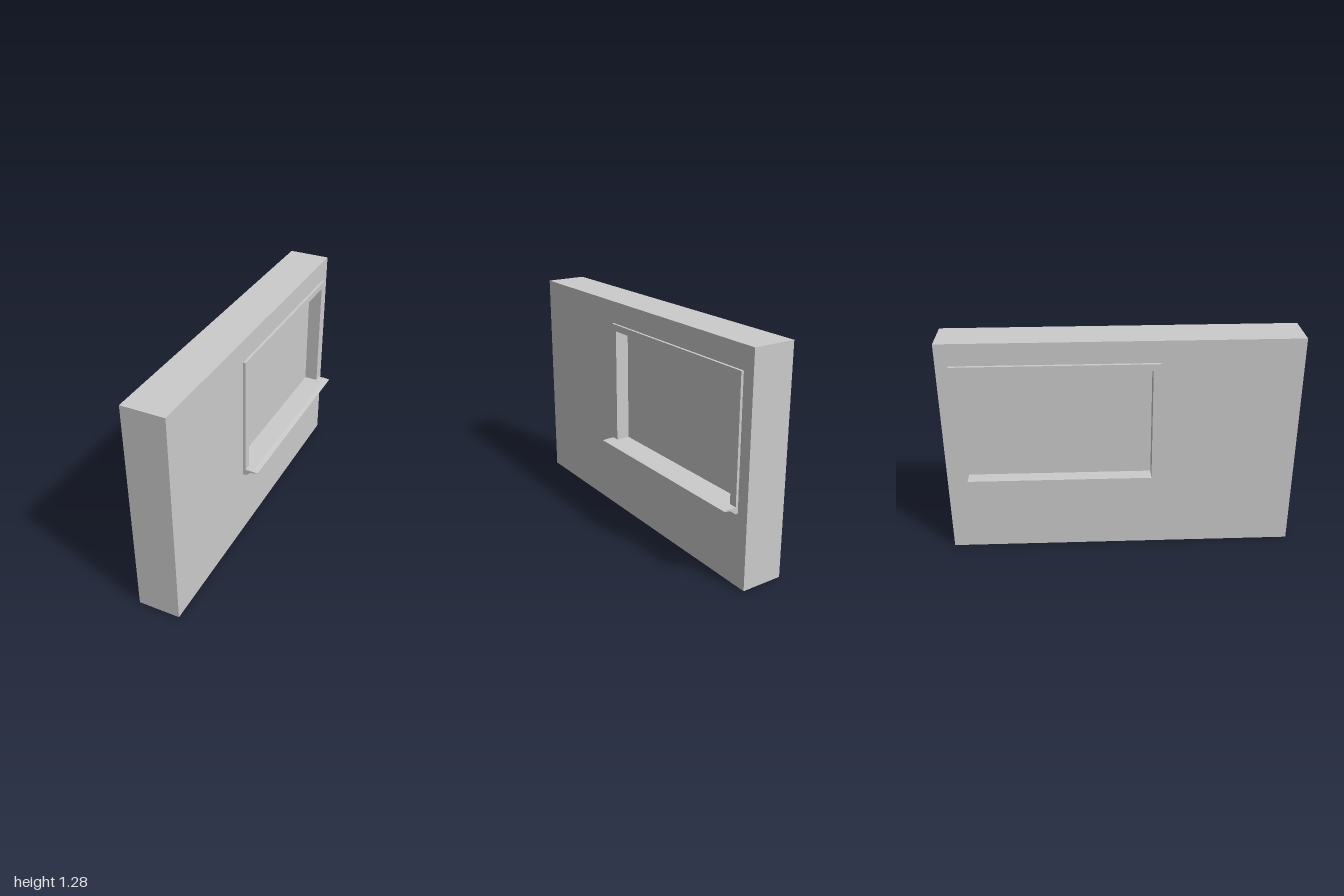
import * as THREE from 'three';

const material = new THREE.MeshStandardMaterial({ color: 0xcccccc, flatShading: true });

function rect(Type, z0, z1, y0, y1) {
  return new Type([[z0, y0], [z1, y0], [z1, y1], [z0, y1]].map(p => new THREE.Vector2(...p)));
}

// Rectangular panel in the z-y plane with a rectangular hole, spanning x0..x1
function holedPanel(name, outer, inner, x0, x1) {
  const shape = rect(THREE.Shape, ...outer);
  shape.holes.push(rect(THREE.Path, ...inner));
  const geometry = new THREE.ExtrudeGeometry(shape, { depth: x1 - x0, bevelEnabled: false });
  geometry.rotateY(-Math.PI / 2).translate(x1, 0, 0);
  const mesh = new THREE.Mesh(geometry, material);
  mesh.name = name;
  return mesh;
}

export function createModel() {
  const group = new THREE.Group();
  group.name = 'windowWall';

  // z0, z1, y0, y1 of each outline
  const wall = [-1, 1, 0, 1.285];
  const frame = [-0.93, 0.215, 0.413, 1.158];
  const opening = [-0.885, 0.172, 0.45, 1.12];

  group.add(holedPanel('wall', wall, frame, -0.16, 0.085));
  group.add(holedPanel('windowFrame', frame, opening, -0.178, 0.1));

  // Thick pane recessed from both faces
  const [z0, z1, y0, y1] = opening;
  const pane = new THREE.Mesh(new THREE.BoxGeometry(0.115, y1 - y0, z1 - z0), material);
  pane.position.set(-0.038, (y0 + y1) / 2, (z0 + z1) / 2);
  pane.name = 'windowPane';
  group.add(pane);

  // Projecting sill with a tapered underside
  const profile = [[0.098, 0.413], [0.103, 0.413], [0.132, 0.438], [0.175, 0.446], [0.175, 0.448], [0.145, 0.451], [0.098, 0.451]];
  const sillShape = new THREE.Shape(profile.map(p => new THREE.Vector2(...p)));
  const sill = new THREE.Mesh(
    new THREE.ExtrudeGeometry(sillShape, { depth: frame[1] - frame[0], bevelEnabled: false }), material);
  sill.position.z = frame[0];
  sill.name = 'windowSill';
  group.add(sill);

  return group;
}
